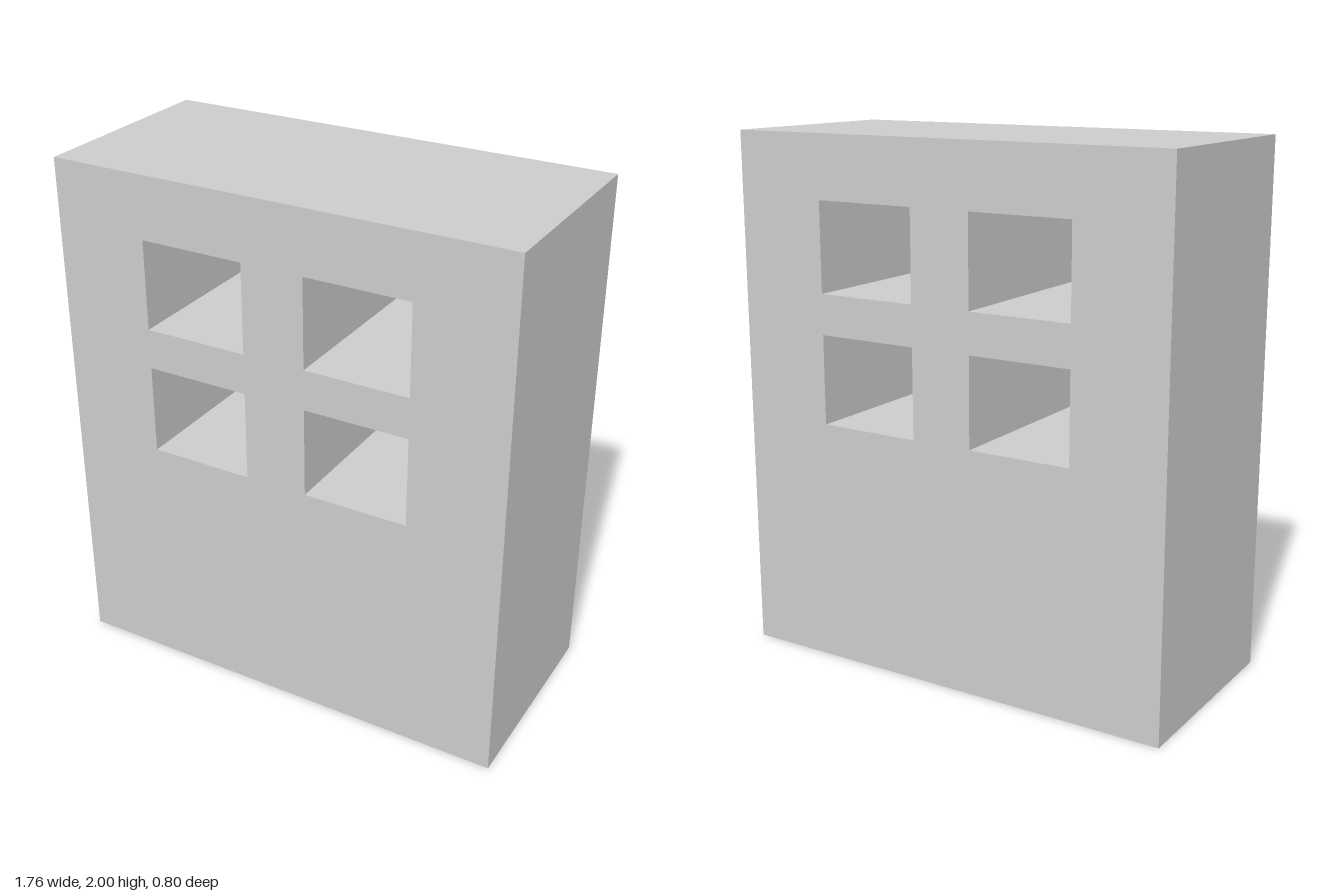
import * as THREE from 'three';

const WIDTH = 1.76, HEIGHT = 2, DEPTH = 0.8;
const HOLE_W = 0.4, HOLE_H = 0.34;

// Traces a rectangle from its lower left corner
function rect(path, x, y, w, h) {
  path.moveTo(x, y);
  path.lineTo(x + w, y);
  path.lineTo(x + w, y + h);
  path.lineTo(x, y + h);
  path.closePath();
  return path;
}

export function createModel() {
  const group = new THREE.Group();
  group.name = 'windowedBlock';

  // Slab outline with a two by two grid of window openings
  const outline = rect(new THREE.Shape(), -WIDTH / 2, 0, WIDTH, HEIGHT);
  for (const x of [-0.32, 0.32]) {
    for (const y of [1.1, 1.593]) {
      outline.holes.push(rect(new THREE.Path(), x - HOLE_W / 2, y - HOLE_H / 2, HOLE_W, HOLE_H));
    }
  }

  // Openings run through the full depth
  const geometry = new THREE.ExtrudeGeometry(outline, { depth: DEPTH, bevelEnabled: false });
  geometry.translate(0, 0, -DEPTH / 2);
  const wall = new THREE.Mesh(
    geometry,
    new THREE.MeshStandardMaterial({ color: 0xcccccc, flatShading: true })
  );
  wall.name = 'wallWithWindows';
  group.add(wall);

  return group;
}
